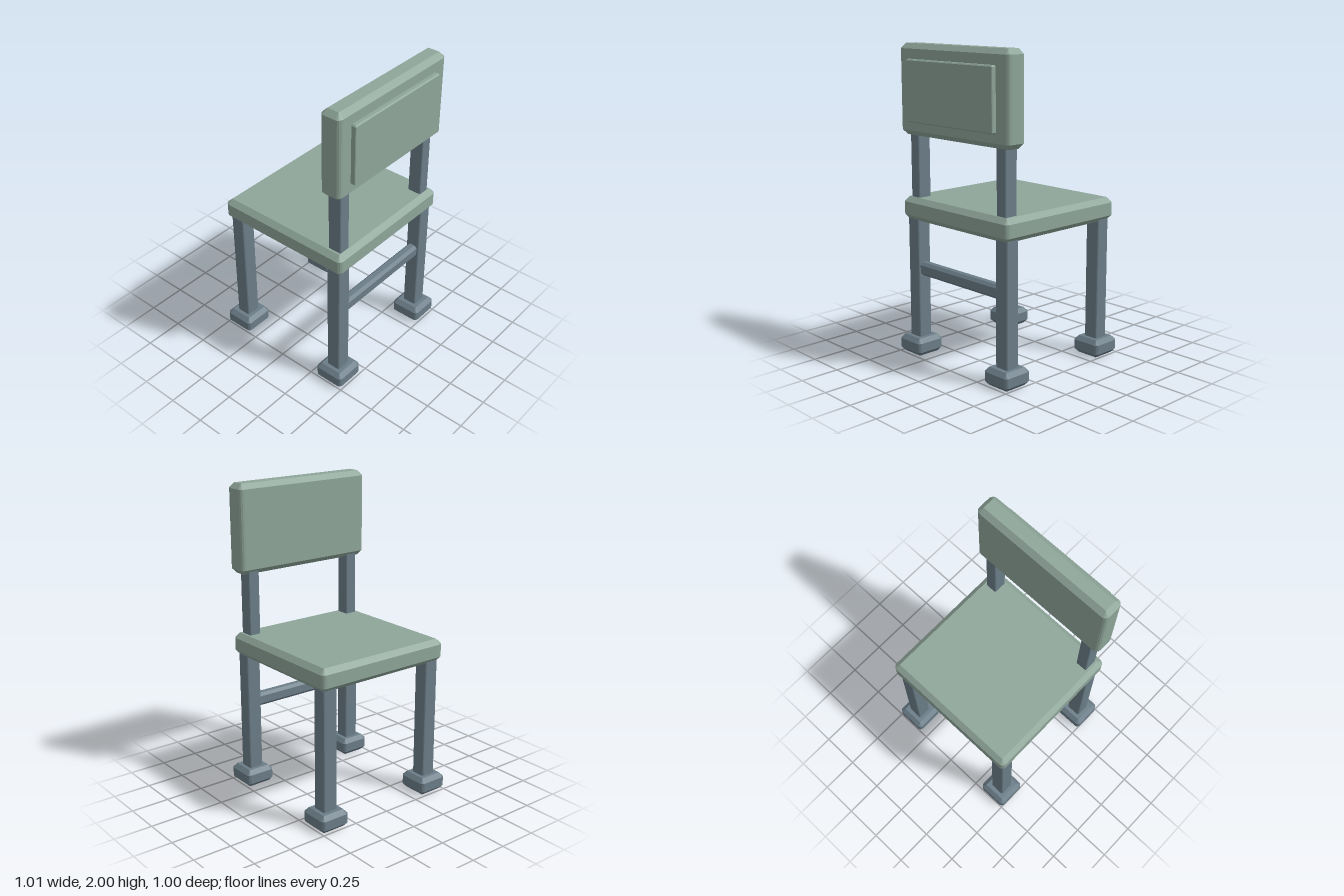
import * as THREE from 'three';
import { ConvexGeometry } from 'three/addons/geometries/ConvexGeometry.js';

const green = new THREE.MeshStandardMaterial({ name: 'sage green', color: 0x8fa69a });
const slate = new THREE.MeshStandardMaterial({ name: 'slate blue', color: 0x6b7d88 });

// Box with rounded upright edges and chamfered top and bottom
function bevelBox(w, h, d, b, steps = 4) {
  const points = [];
  for (const sx of [-1, 1]) for (const sy of [-1, 1]) for (const sz of [-1, 1]) {
    const x = w / 2 - b, z = d / 2 - b;
    points.push(new THREE.Vector3(sx * x, sy * h / 2, sz * z));
    for (let i = 0; i <= steps; i++) {
      const t = (i / steps) * Math.PI / 2;
      points.push(new THREE.Vector3(
        sx * (x + b * Math.cos(t)), sy * (h / 2 - b), sz * (z + b * Math.sin(t))));
    }
  }
  return new ConvexGeometry(points);
}

export function createModel() {
  const chair = new THREE.Group();
  chair.name = 'chair';

  // Adds a part by its centre x, z and its bottom and top heights
  function add(name, material, x, z, y0, y1, w, d, bevel) {
    const mesh = new THREE.Mesh(bevelBox(w, y1 - y0, d, bevel), material);
    mesh.name = name;
    mesh.position.set(x, (y0 + y1) / 2, z);
    chair.add(mesh);
  }

  // Seat, backrest and its raised panel
  add('seat', green, 0, 0, 0.89, 1.037, 0.956, 0.94, 0.032);
  add('backrest', green, 0, 0.396, 1.433, 2, 0.975, 0.142, 0.032);
  add('backrestPanel', green, 0, 0.478, 1.52, 1.907, 0.774, 0.04, 0.008);

  for (const side of [-1, 1]) {
    const name = side > 0 ? 'left' : 'right';
    // Legs with feet
    for (const end of [-1, 1]) {
      const place = name + (end > 0 ? 'Front' : 'Back');
      add(place + 'Leg', slate, side * 0.406, end * 0.398, 0.09, 0.91, 0.1, 0.097, 0.012);
      add(place + 'Foot', slate, side * 0.405, end * 0.399, 0, 0.115, 0.202, 0.202, 0.027);
    }
    // Posts that carry the backrest
    add(name + 'Post', slate, side * 0.392, 0.387, 1.01, 1.46, 0.08, 0.094, 0.01);
  }

  // Rail between the legs below the backrest
  add('rail', slate, 0, 0.398, 0.527, 0.614, 0.78, 0.07, 0.018);

  return chair;
}
